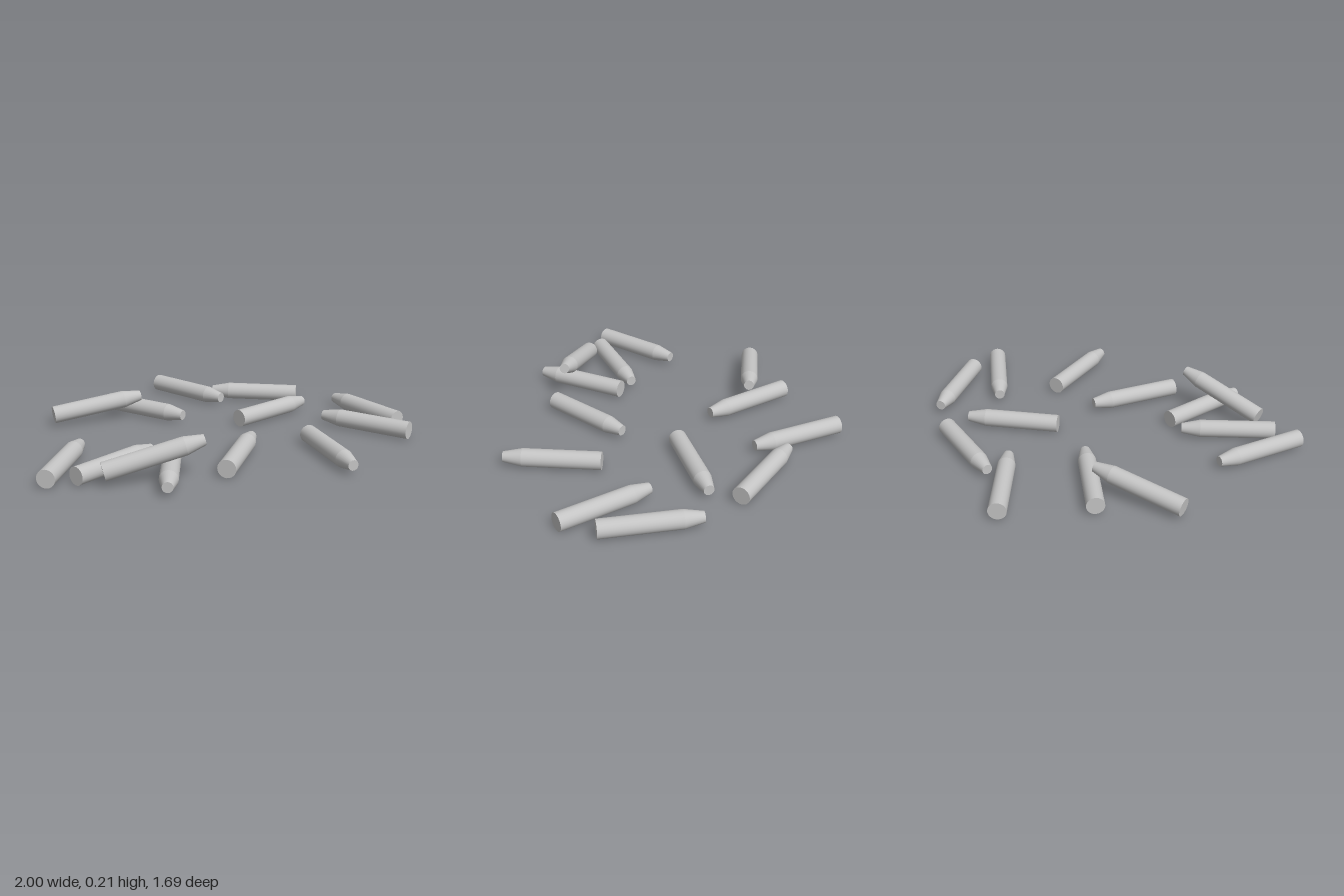
import * as THREE from 'three';
import { mergeGeometries } from 'three/addons/utils/BufferGeometryUtils.js';

const RADIUS = 0.045, TIP_RADIUS = 0.026, LENGTH = 0.48, TAPER = 0.095, SIDES = 24;
const REST = 0.052;

// Each stick: blunt end x, z, then tip x, z, then optional blunt and tip heights
const STICKS = [
  [-0.617, -0.5, -0.147, -0.425, 0.065, 0.125],
  [-0.232, -0.622, -0.003, -0.206],
  [0.168, -0.831, 0.334, -0.387],
  [0.756, -0.259, 0.371, -0.542],
  [0.232, -0.013, 0.702, -0.12],
  [0.953, 0.398, 0.9, -0.077],
  [0.889, 0.569, 0.66, 0.152],
  [0.414, 0.366, 0.339, 0.836],
  [-0.195, 0.596, 0.142, 0.259],
  [-0.296, 0.254, -0.532, 0.665],
  [-0.733, 0.415, -0.278, 0.548, 0.075, 0.195],
  [-0.831, 0.35, -0.382, 0.19],
  [-0.964, 0.318, -0.654, -0.045],
];

// Straight shaft with a tapered, flat-ended tip, centred and pointing along +y
function stickGeometry() {
  const body = LENGTH - TAPER;
  const shaft = new THREE.CylinderGeometry(RADIUS, RADIUS, body, SIDES, 1, true);
  shaft.translate(0, -TAPER / 2, 0);
  const taper = new THREE.CylinderGeometry(TIP_RADIUS, RADIUS, TAPER, SIDES, 1, true);
  taper.translate(0, body / 2, 0);
  const tipCap = new THREE.CircleGeometry(TIP_RADIUS, SIDES);
  tipCap.rotateX(-Math.PI / 2).translate(0, LENGTH / 2, 0);
  const bluntCap = new THREE.CircleGeometry(RADIUS, SIDES);
  bluntCap.rotateX(Math.PI / 2).translate(0, -LENGTH / 2, 0);
  return mergeGeometries([shaft, taper, tipCap, bluntCap]);
}

export function createModel() {
  const model = new THREE.Group();
  model.name = 'scatteredSticks';
  const grey = new THREE.MeshStandardMaterial({ color: 0xc4c4c4 });
  grey.name = 'light grey';
  const geometry = stickGeometry();
  const up = new THREE.Vector3(0, 1, 0);

  // Lay each stick between its two ends
  STICKS.forEach(([bx, bz, tx, tz, by = REST, ty = REST], i) => {
    const blunt = new THREE.Vector3(bx, by, bz);
    const tip = new THREE.Vector3(tx, ty, tz);
    const stick = new THREE.Mesh(geometry, grey);
    stick.name = `stick${i + 1}`;
    stick.position.copy(blunt).add(tip).multiplyScalar(0.5);
    stick.quaternion.setFromUnitVectors(up, tip.sub(blunt).normalize());
    model.add(stick);
  });
  return model;
}
